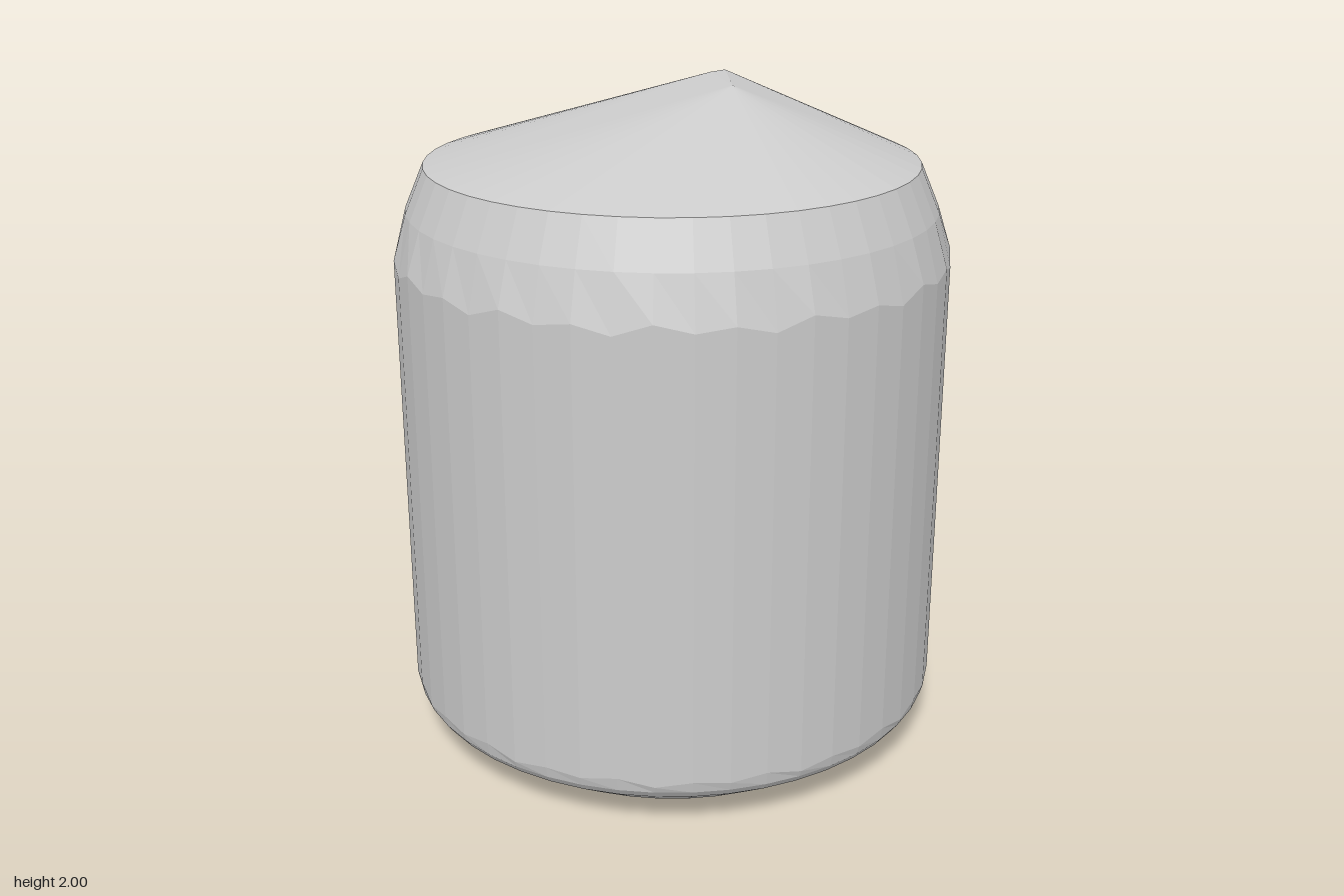
import * as THREE from 'three';

const SIDES = 48;
const material = new THREE.MeshStandardMaterial({ color: 0xcccccc, flatShading: true });

// Round drum: flat base, chamfer, wall and sloped shoulder
function bodyGeometry() {
  const profile = [
    [0, 0], [0.635, 0], [0.8, 0.115], [0.818, 0.14], [0.826, 0.17],
    [0.826, 1.51], [0.786, 1.65], [0.73, 1.78],
  ].map(([r, y]) => new THREE.Vector2(r, y));
  const geometry = new THREE.LatheGeometry(profile, SIDES);
  const pos = geometry.attributes.position;
  // Ragged edges where the wall meets the shoulder and the chamfer
  const n = profile.length;
  for (let i = 0; i < pos.count; i++) {
    const row = i % n;
    const column = Math.floor(i / n) % SIDES;
    const shift = [0.015, -0.01, 0.005, -0.02][column % 4];
    if (row === 5) pos.setY(i, pos.getY(i) + shift);
    if (row === 4) pos.setY(i, pos.getY(i) - shift * 0.6);
  }
  const flat = geometry.toNonIndexed();
  flat.computeVertexNormals();
  return flat;
}

// Slanted cap: fans from the rim up to a short off-centre ridge
function capGeometry() {
  const ridge = [[0.14, 2, 0.11], [0.26, 2, -0.16], [0.2, 2, -0.14]];
  const angle = (i) => (i / SIDES) * Math.PI * 2;
  const rim = (i) => [0.73 * Math.sin(angle(i)), 1.78, 0.73 * Math.cos(angle(i))];
  // The ridge corner lying furthest out towards a rim edge
  const corner = (i) => {
    const a = angle(i + 0.5);
    const reach = ridge.map((p) => p[0] * Math.sin(a) + p[2] * Math.cos(a));
    return ridge[reach.indexOf(Math.max(...reach))];
  };
  const points = [...ridge[0], ...ridge[1], ...ridge[2]];
  for (let i = 0; i < SIDES; i++) {
    const here = corner(i);
    const next = corner(i + 1);
    points.push(...rim(i), ...rim(i + 1), ...here);
    if (here !== next) points.push(...rim(i + 1), ...next, ...here);
  }
  const geometry = new THREE.BufferGeometry();
  geometry.setAttribute('position', new THREE.Float32BufferAttribute(points, 3));
  geometry.computeVertexNormals();
  return geometry;
}

export function createModel() {
  const group = new THREE.Group();
  group.name = 'drum';
  const body = new THREE.Mesh(bodyGeometry(), material);
  body.name = 'body';
  const cap = new THREE.Mesh(capGeometry(), material);
  cap.name = 'cap';
  group.add(body, cap);
  return group;
}
